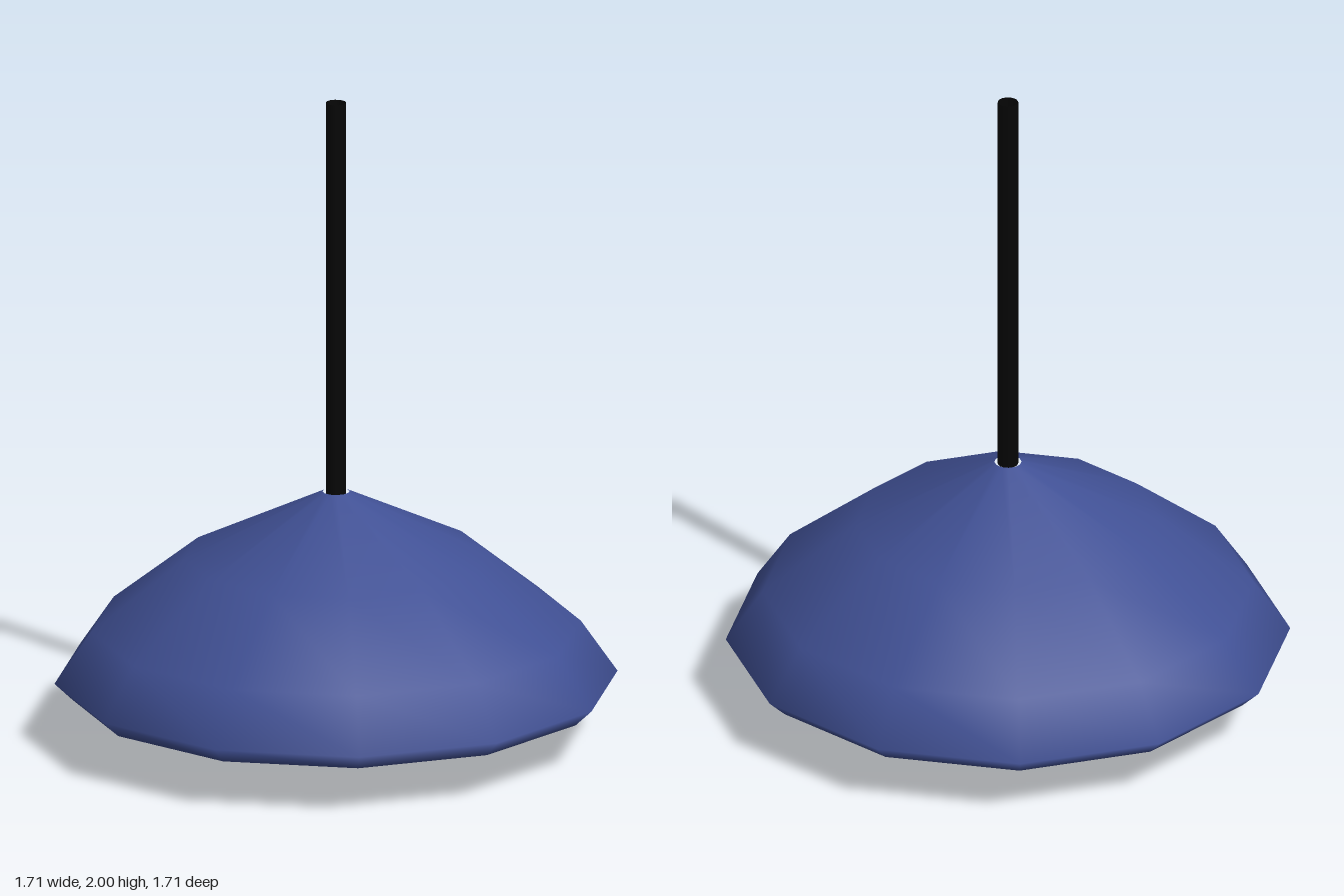
import * as THREE from 'three';

// Pendant lamp: every part is a smooth-shaded lathe with twelve sides
export function createModel() {
  const shadeBlue = new THREE.MeshStandardMaterial({ name: 'shadeBlue', color: 0x405094 });
  const bulbTeal = new THREE.MeshStandardMaterial({ name: 'bulbTeal', color: 0x04e0cc });
  const cordBlack = new THREE.MeshStandardMaterial({ name: 'cordBlack', color: 0x050505, side: THREE.DoubleSide });

  const group = new THREE.Group();
  group.name = 'pendantLamp';

  const addLathe = (name, profile, material) => {
    const points = profile.map(([r, y]) => new THREE.Vector2(r, y));
    const mesh = new THREE.Mesh(new THREE.LatheGeometry(points, 12), material);
    mesh.name = name;
    group.add(mesh);
  };

  // Shade: shallow hollow underside, bevelled rim, domed top with a small hole
  addLathe('shade', [
    [0.15, 0.35], [0.2, 0.32], [0.45, 0.2], [0.7, 0.15], [0.8, 0.14],
    [0.853, 0.19], [0.742, 0.35], [0.46, 0.573], [0.041, 0.776],
  ], shadeBlue);

  // Bulb: rounded tip, widest near the shade, flat top under the hole
  addLathe('bulb', [
    [0, 0], [0.068, 0.027], [0.133, 0.115], [0.17, 0.27],
    [0.16, 0.36], [0.1, 0.42], [0.05, 0.425], [0, 0.425],
  ], bulbTeal);

  // Cord: open tube
  addLathe('cord', [[0.031, 0.77], [0.031, 2]], cordBlack);

  return group;
}
